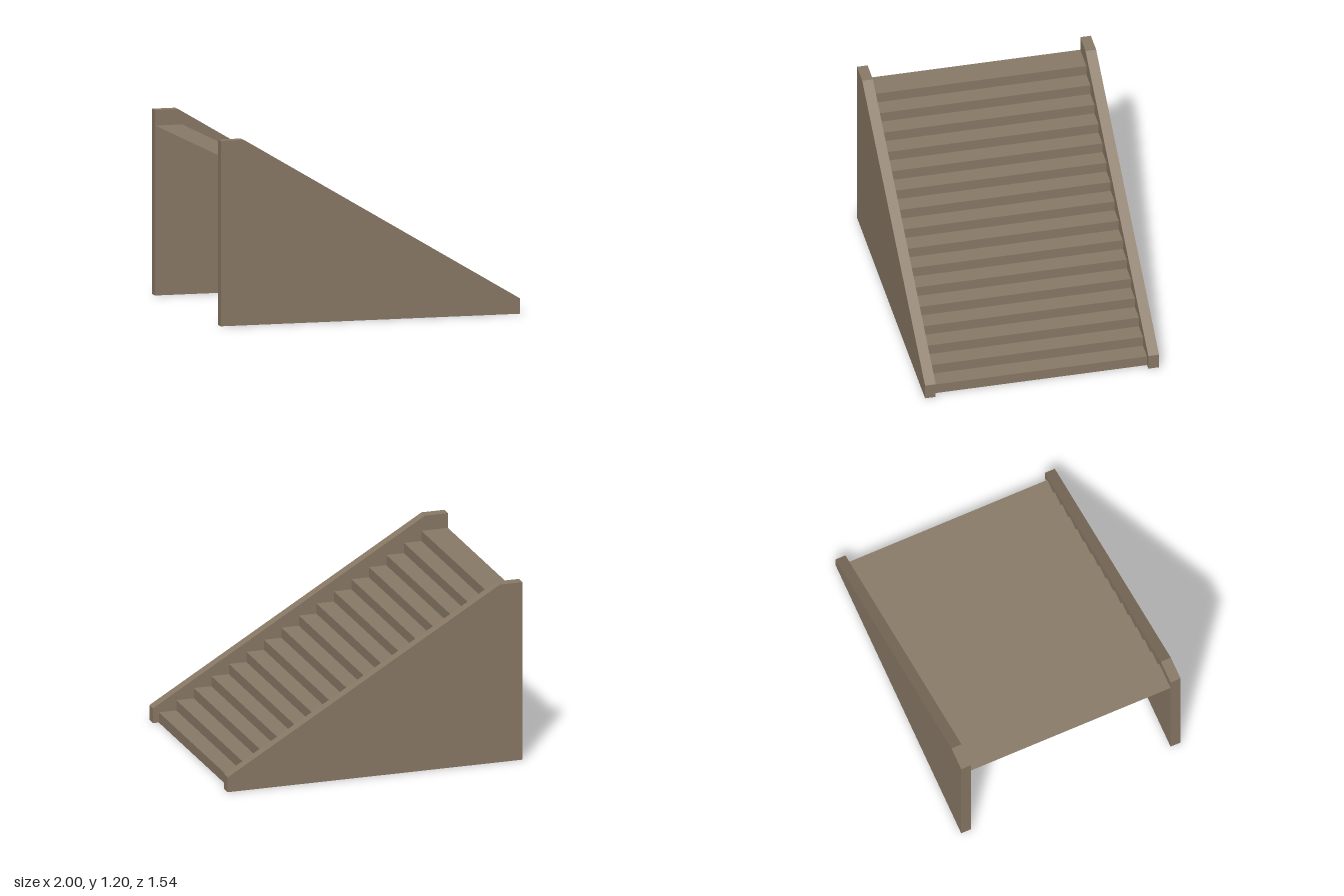
import * as THREE from 'three';

// Sheet that follows [x, y] points and spans z0..z1, with a sharp fold at each point
function foldedSheet(points, z0, z1) {
  const positions = [];
  const index = [];
  for (let i = 0; i < points.length - 1; i++) {
    const [px, py] = points[i];
    const [qx, qy] = points[i + 1];
    const base = i * 4;
    positions.push(px, py, z1, px, py, z0, qx, qy, z0, qx, qy, z1);
    index.push(base, base + 1, base + 2, base, base + 2, base + 3);
  }
  const geometry = new THREE.BufferGeometry();
  geometry.setAttribute('position', new THREE.Float32BufferAttribute(positions, 3));
  geometry.setIndex(index);
  geometry.computeVertexNormals();
  return geometry;
}

export function createModel() {
  const model = new THREE.Group();
  model.name = 'staircase';
  const stone = new THREE.MeshStandardMaterial({ color: 0x8a7a67, side: THREE.DoubleSide });
  stone.name = 'brownStone';

  const addPart = (parent, name, geometry) => {
    const mesh = new THREE.Mesh(geometry, stone);
    mesh.name = name;
    parent.add(mesh);
  };

  const innerZ = 0.698;
  const outerZ = 0.768;

  // Side walls: hollow, open at the bottom, sloped with a short flat top
  const profile = [[1, 0], [1, 0.1], [-0.845, 1.2], [-1, 1.2], [-1, 0]];
  const outline = new THREE.Shape(profile.map(([x, y]) => new THREE.Vector2(x, y)));
  for (const [name, z0, z1] of [['frontWall', innerZ, outerZ], ['backWall', -outerZ, -innerZ]]) {
    const wall = new THREE.Group();
    wall.name = name;
    const frontFace = new THREE.ShapeGeometry(outline).translate(0, 0, z1);
    const backFace = new THREE.ShapeGeometry(outline).translate(0, 0, z0);
    backFace.index.array.reverse();
    backFace.computeVertexNormals();
    addPart(wall, `${name}FrontFace`, frontFace);
    addPart(wall, `${name}BackFace`, backFace);
    addPart(wall, `${name}Rim`, foldedSheet(profile, z0, z1));
    model.add(wall);
  }

  // Steps: one thin folded sheet of risers and treads, open underneath
  const count = 16;
  const rise = 1.1 / count;
  const firstEdge = 0.96;
  const lastEdge = -0.82;
  const run = (firstEdge - lastEdge) / (count - 1);
  const stepPoints = [];
  for (let i = 0; i < count; i++) {
    const x = firstEdge - run * i;
    stepPoints.push([x, rise * i], [x, rise * (i + 1)]);
  }
  stepPoints.push([-1, 1.1]);
  addPart(model, 'steps', foldedSheet(stepPoints, -innerZ, innerZ));

  return model;
}
